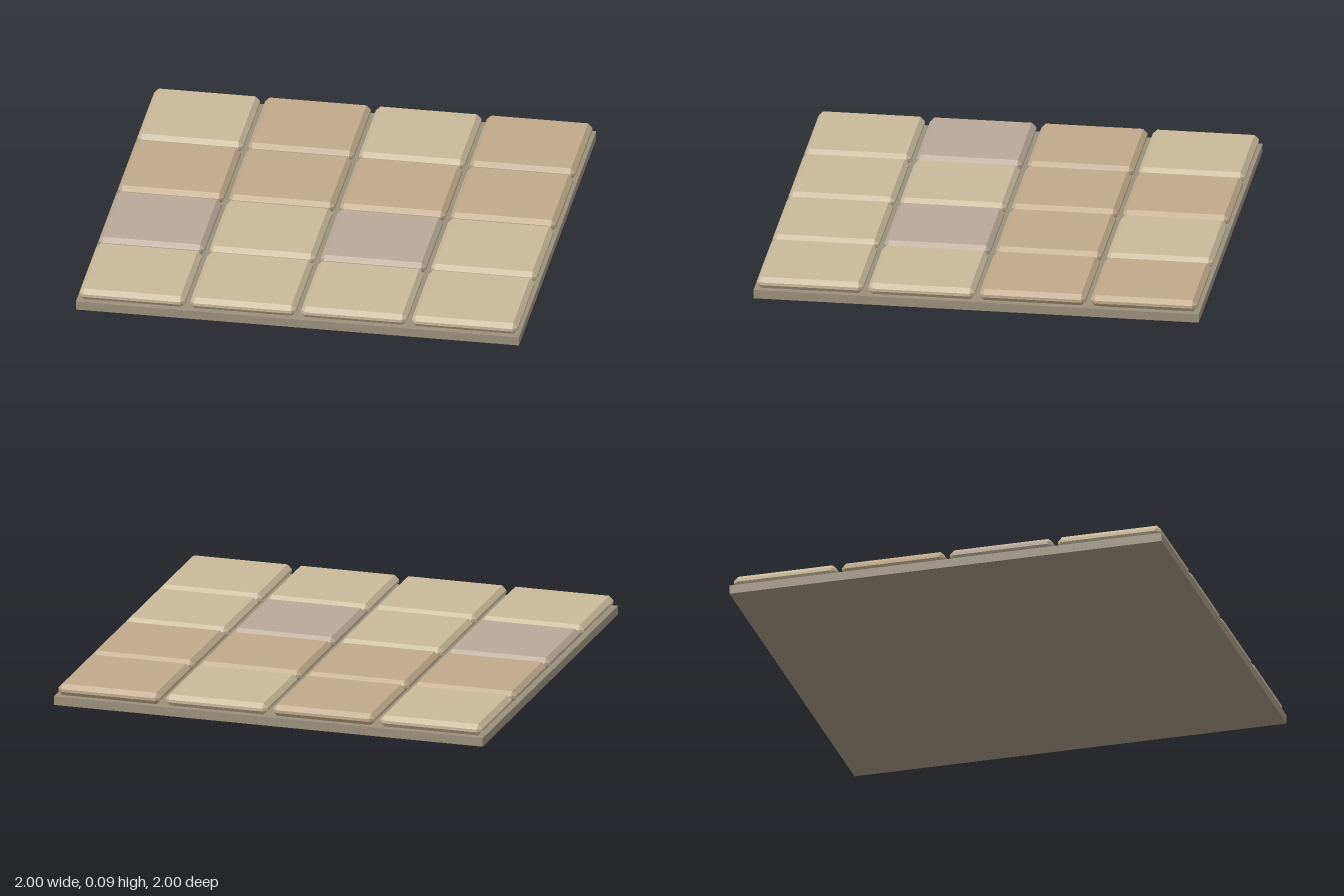
import * as THREE from 'three';
import { ConvexGeometry } from 'three/addons/geometries/ConvexGeometry.js';

// Box with every edge chamfered by c: each corner becomes a small triangle
function chamferedBox(w, h, d, c) {
  const points = [];
  for (const sx of [-1, 1]) for (const sy of [-1, 1]) for (const sz of [-1, 1]) {
    const [x, y, z] = [w / 2, h / 2, d / 2];
    points.push(
      new THREE.Vector3(sx * x, sy * (y - c), sz * (z - c)),
      new THREE.Vector3(sx * (x - c), sy * y, sz * (z - c)),
      new THREE.Vector3(sx * (x - c), sy * (y - c), sz * z)
    );
  }
  return new ConvexGeometry(points);
}

const material = (color) => new THREE.MeshStandardMaterial({ color, flatShading: true });

export function createModel() {
  const model = new THREE.Group();
  model.name = 'tiledFloor';

  // Grout slab under the tiles
  const slab = new THREE.Mesh(new THREE.BoxGeometry(2, 0.04, 2), material(0x9a8f7c));
  slab.name = 'groutSlab';
  slab.position.y = 0.02;
  model.add(slab);

  // Stone tiles, one letter per tile, rows from back to front
  const stones = { L: material(0xc8b89a), T: material(0xbfa98a), G: material(0xb8a898) };
  const rows = ['LTLT', 'TTTT', 'GLGL', 'LLLL'];
  const tileGeometry = chamferedBox(0.477, 0.053, 0.477, 0.02);
  const tiles = new THREE.Group();
  tiles.name = 'tiles';
  rows.forEach((row, r) => [...row].forEach((stone, c) => {
    const tile = new THREE.Mesh(tileGeometry, stones[stone]);
    tile.name = `tileRow${r + 1}Column${c + 1}`;
    tile.position.set(-0.75 + 0.5 * c, 0.0665, -0.75 + 0.5 * r);
    tiles.add(tile);
  }));
  model.add(tiles);

  return model;
}
